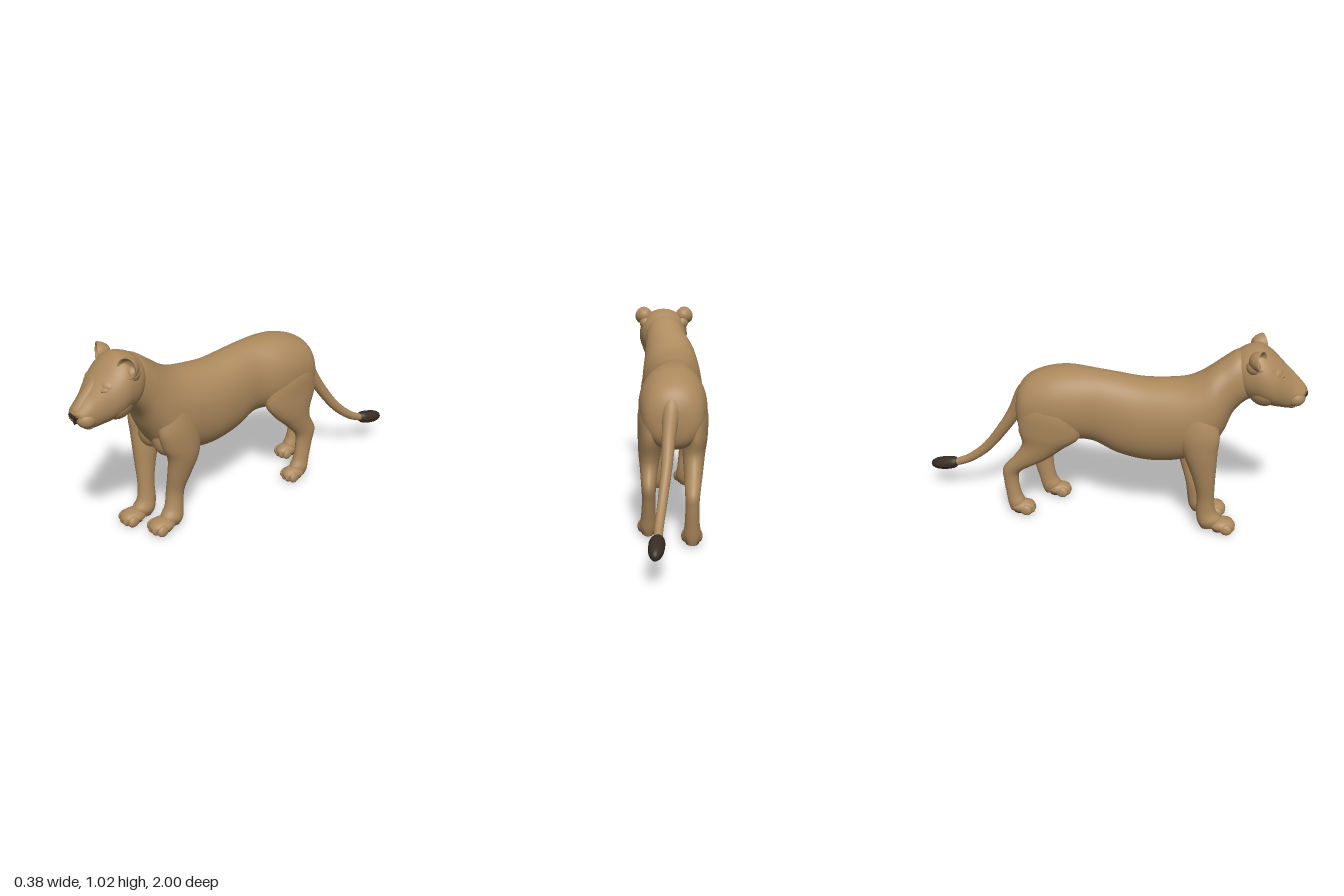
import * as THREE from 'three';

const fur = new THREE.MeshStandardMaterial({ color: 0xac895d });
fur.name = 'tawnyFur';
const dark = new THREE.MeshStandardMaterial({ color: 0x382d23 });
dark.name = 'darkBrown';

function add(parent, name, geometry, material = fur) {
  const mesh = new THREE.Mesh(geometry, material);
  mesh.name = name;
  parent.add(mesh);
  return mesh;
}

function ball(parent, name, pos, size, material = fur, rot = [0, 0, 0]) {
  const mesh = add(parent, name, new THREE.SphereGeometry(1, 24, 16), material);
  mesh.position.set(...pos);
  mesh.scale.set(...size);
  mesh.rotation.set(...rot);
  return mesh;
}

// Smooth skin through oval rings: [centre x, half width, edge A z, y, edge B z, y]
function loft(stations, power = 1, seg = 32, sub = 6) {
  const pos = [], idx = [], n = stations.length;
  const rings = (n - 1) * sub + 1;
  const cr = (a, b, c, d, t) => 0.5 * (2 * b + (c - a) * t + (2 * a - 5 * b + 4 * c - d) * t * t + (3 * b - a - 3 * c + d) * t * t * t);
  const shape = (v) => Math.sign(v) * Math.abs(v) ** power;
  const centres = [];
  for (let r = 0; r < rings; r++) {
    const i = Math.min(Math.floor(r / sub), n - 2), t = r / sub - i;
    const at = (k) => stations[Math.max(0, Math.min(n - 1, k))];
    const [x, w, az, ay, bz, by] = at(i).map((_, k) => cr(at(i - 1)[k], at(i)[k], at(i + 1)[k], at(i + 2)[k], t));
    centres.push([x, (ay + by) / 2, (az + bz) / 2]);
    for (let s = 0; s < seg; s++) {
      const a = (s / seg) * Math.PI * 2, c = shape(Math.cos(a)) / 2, d = shape(Math.sin(a));
      pos.push(x + w * d, (ay + by) / 2 + (ay - by) * c, (az + bz) / 2 + (az - bz) * c);
    }
  }
  for (let r = 0; r < rings - 1; r++) {
    for (let s = 0; s < seg; s++) {
      const a = r * seg + s, b = r * seg + (s + 1) % seg;
      idx.push(a, b, a + seg, b, b + seg, a + seg);
    }
  }
  // End caps
  const first = rings * seg;
  pos.push(...centres[0], ...centres[rings - 1]);
  for (let s = 0; s < seg; s++) {
    const e = (rings - 1) * seg, q = (s + 1) % seg;
    idx.push(first, q, s, first + 1, e + s, e + q);
  }
  // Turn the faces outward whichever way the rings run
  let volume = 0;
  const v = (i) => new THREE.Vector3().fromArray(pos, i * 3);
  for (let i = 0; i < idx.length; i += 3) volume += v(idx[i]).dot(v(idx[i + 1]).cross(v(idx[i + 2])));
  if (volume < 0) idx.reverse();
  const g = new THREE.BufferGeometry();
  g.setAttribute('position', new THREE.Float32BufferAttribute(pos, 3));
  g.setIndex(idx);
  g.computeVertexNormals();
  return g;
}

// Paw with four toes and a dark heel pad; z is the tip of the toes
function paw(parent, name, x, z, w) {
  const g = new THREE.Group();
  g.name = name;
  parent.add(g);
  ball(g, 'foot', [x, 0.042, z - 0.075], [w * 0.94, 0.037, 0.07]);
  for (let i = 0; i < 4; i++) {
    const u = (i - 1.5) / 1.5, tz = z - 0.034 - Math.abs(u) * 0.018;
    ball(g, 'toe', [x + u * w * 0.68, 0.034, tz], [w * 0.33, 0.03, 0.035], fur, [0.25, u * 0.15, 0]);
  }
  ball(g, 'heelPad', [x, 0.012, z - 0.09], [w * 0.62, 0.012, 0.034], dark);
}

export function createModel() {
  const model = new THREE.Group();
  model.name = 'bigCat';

  // Torso and neck, from rump to nape
  add(model, 'torso', loft([
    [0, 0.03, -0.462, 0.67, -0.465, 0.58], [0, 0.105, -0.435, 0.735, -0.448, 0.5],
    [0, 0.147, -0.38, 0.785, -0.4, 0.46], [0, 0.167, -0.28, 0.822, -0.28, 0.445],
    [0, 0.162, -0.18, 0.835, -0.16, 0.45], [-0.01, 0.137, -0.05, 0.83, -0.05, 0.445],
    [-0.01, 0.142, 0.06, 0.818, 0.07, 0.39], [-0.01, 0.153, 0.18, 0.803, 0.2, 0.365],
    [-0.012, 0.16, 0.3, 0.808, 0.32, 0.37], [-0.012, 0.165, 0.4, 0.822, 0.44, 0.4],
    [-0.01, 0.16, 0.47, 0.853, 0.54, 0.455], [-0.005, 0.145, 0.53, 0.895, 0.605, 0.56],
    [0.01, 0.124, 0.585, 0.935, 0.645, 0.66], [0.02, 0.112, 0.64, 0.972, 0.7, 0.72],
    [0.03, 0.1, 0.7, 0.985, 0.75, 0.74],
  ], 0.92, 40));
  for (const s of [-1, 1]) {
    ball(model, 'chestMuscle', [-0.005 + s * 0.058, 0.52, 0.485], [0.08, 0.115, 0.088], fur, [-0.25, 0, 0]);
  }

  // Head, from nape to nose
  const head = new THREE.Group();
  head.name = 'head';
  model.add(head);
  add(head, 'skull', loft([
    [0.03, 0.06, 0.6, 0.915, 0.64, 0.8], [0.03, 0.115, 0.665, 0.983, 0.7, 0.74],
    [0.03, 0.134, 0.74, 1.01, 0.75, 0.727], [0.03, 0.137, 0.79, 0.992, 0.79, 0.712],
    [0.03, 0.125, 0.84, 0.95, 0.83, 0.703], [0.032, 0.1, 0.885, 0.905, 0.868, 0.695],
    [0.034, 0.077, 0.925, 0.86, 0.91, 0.69], [0.035, 0.065, 0.96, 0.825, 0.942, 0.702],
    [0.035, 0.05, 0.985, 0.8, 0.965, 0.73], [0.035, 0.015, 0.996, 0.785, 0.985, 0.755],
  ], 0.95, 40));
  add(head, 'noseBridge', loft([
    [0.032, 0.03, 0.82, 0.95, 0.8, 0.88], [0.033, 0.042, 0.886, 0.909, 0.85, 0.82],
    [0.034, 0.038, 0.941, 0.856, 0.9, 0.77], [0.035, 0.037, 0.982, 0.811, 0.94, 0.75],
    [0.035, 0.02, 0.992, 0.795, 0.97, 0.765],
  ]));
  ball(head, 'nosePad', [0.035, 0.768, 0.983], [0.036, 0.016, 0.017], dark, [-0.3, 0, 0]);
  ball(head, 'noseGroove', [0.035, 0.745, 0.983], [0.006, 0.022, 0.008], dark);
  ball(head, 'chin', [0.035, 0.714, 0.922], [0.05, 0.025, 0.034]);

  for (const s of [-1, 1]) {
    ball(head, 'muzzlePad', [0.035 + s * 0.033, 0.752, 0.938], [0.043, 0.042, 0.05]);
    ball(head, 'cheek', [0.03 + s * 0.058, 0.805, 0.79], [0.065, 0.09, 0.085]);
    ball(head, 'brow', [0.03 + s * 0.06, 0.887, 0.83], [0.05, 0.038, 0.042], fur, [0, s * 0.4, -s * 0.15]);
    ball(head, 'eyelid', [0.032 + s * 0.068, 0.878, 0.862], [0.03, 0.016, 0.018], fur, [0, s * 0.5, s * 0.15]);
    ball(head, 'eyeSlit', [0.032 + s * 0.07, 0.877, 0.8775], [0.018, 0.0025, 0.004], dark, [0, s * 0.5, s * 0.15]);
    // Mouth line under the muzzle pad
    const lip = new THREE.CatmullRomCurve3([
      new THREE.Vector3(0.035, 0.726, 0.969), new THREE.Vector3(0.035 + s * 0.02, 0.717, 0.965),
      new THREE.Vector3(0.035 + s * 0.045, 0.718, 0.951),
    ]);
    add(head, 'mouthLine', new THREE.TubeGeometry(lip, 12, 0.0025, 6), dark);
    // Cupped ear opening forward and outward
    const cup = [[0, -0.055], [0.028, -0.046], [0.045, -0.02], [0.05, 0.006], [0.047, 0.011], [0.041, 0.004], [0.028, -0.016], [0, -0.024]];
    const profile = new THREE.SplineCurve(cup.map((p) => new THREE.Vector2(...p))).getPoints(28);
    profile[0].x = profile[28].x = 0;
    const ear = add(head, 'ear', new THREE.LatheGeometry(profile, 28));
    ear.position.set(0.026 + s * 0.117, 0.97, 0.758);
    ear.quaternion.setFromUnitVectors(new THREE.Vector3(0, 1, 0), new THREE.Vector3(s * 0.42, 0.08, 0.9).normalize());
    ball(head, 'earRoot', [0.028 + s * 0.104, 0.93, 0.73], [0.035, 0.04, 0.036], fur, [0, 0, -s * 0.4]);
  }

  // Legs, edge A in front and edge B behind
  add(model, 'leftFrontLeg', loft([
    [0.06, 0.03, 0.46, 0.79, 0.4, 0.77], [0.086, 0.054, 0.54, 0.7, 0.385, 0.7],
    [0.103, 0.06, 0.58, 0.58, 0.36, 0.58], [0.105, 0.06, 0.56, 0.48, 0.345, 0.47],
    [0.1, 0.057, 0.525, 0.4, 0.355, 0.39], [0.082, 0.05, 0.517, 0.3, 0.385, 0.3],
    [0.062, 0.042, 0.515, 0.2, 0.418, 0.2], [0.066, 0.042, 0.53, 0.12, 0.43, 0.11],
    [0.072, 0.048, 0.56, 0.075, 0.44, 0.05], [0.074, 0.03, 0.56, 0.035, 0.46, 0.012],
  ]));
  add(model, 'rightFrontLeg', loft([
    [-0.08, 0.03, 0.48, 0.79, 0.4, 0.77], [-0.108, 0.054, 0.55, 0.7, 0.385, 0.7],
    [-0.127, 0.06, 0.59, 0.58, 0.37, 0.58], [-0.124, 0.058, 0.585, 0.48, 0.41, 0.47],
    [-0.115, 0.055, 0.583, 0.4, 0.44, 0.39], [-0.105, 0.047, 0.58, 0.3, 0.47, 0.3],
    [-0.092, 0.039, 0.58, 0.2, 0.49, 0.2], [-0.086, 0.041, 0.59, 0.12, 0.49, 0.11],
    [-0.086, 0.048, 0.62, 0.075, 0.5, 0.05], [-0.087, 0.03, 0.62, 0.035, 0.52, 0.012],
  ]));
  add(model, 'leftHindLeg', loft([
    [0.06, 0.045, -0.19, 0.76, -0.34, 0.74], [0.095, 0.071, -0.11, 0.63, -0.415, 0.65],
    [0.108, 0.064, -0.095, 0.5, -0.43, 0.52], [0.115, 0.055, -0.15, 0.415, -0.395, 0.42],
    [0.118, 0.045, -0.225, 0.345, -0.392, 0.36], [0.12, 0.036, -0.3, 0.265, -0.432, 0.275],
    [0.12, 0.033, -0.308, 0.2, -0.415, 0.2], [0.122, 0.036, -0.295, 0.12, -0.39, 0.11],
    [0.124, 0.042, -0.27, 0.075, -0.375, 0.05], [0.124, 0.03, -0.27, 0.035, -0.36, 0.012],
  ]));
  add(model, 'rightHindLeg', loft([
    [-0.06, 0.045, -0.19, 0.76, -0.34, 0.74], [-0.095, 0.071, -0.11, 0.63, -0.42, 0.65],
    [-0.106, 0.063, -0.11, 0.5, -0.435, 0.52], [-0.1, 0.055, -0.2, 0.42, -0.42, 0.43],
    [-0.095, 0.046, -0.3, 0.34, -0.465, 0.35], [-0.088, 0.036, -0.43, 0.26, -0.53, 0.27],
    [-0.086, 0.033, -0.452, 0.2, -0.532, 0.2], [-0.086, 0.036, -0.44, 0.12, -0.52, 0.11],
    [-0.087, 0.042, -0.42, 0.075, -0.51, 0.05], [-0.087, 0.03, -0.42, 0.035, -0.5, 0.012],
  ]));
  paw(model, 'leftFrontPaw', 0.076, 0.64, 0.062);
  paw(model, 'rightFrontPaw', -0.087, 0.7, 0.06);
  paw(model, 'leftHindPaw', 0.125, -0.21, 0.051);
  paw(model, 'rightHindPaw', -0.088, -0.36, 0.051);

  // Tail and its dark tuft, edge A above and edge B below
  add(model, 'tail', loft([
    [0, 0.05, -0.36, 0.77, -0.39, 0.64], [0.01, 0.043, -0.455, 0.705, -0.41, 0.63],
    [0.025, 0.033, -0.52, 0.56, -0.455, 0.53], [0.035, 0.027, -0.585, 0.45, -0.535, 0.415],
    [0.055, 0.023, -0.675, 0.325, -0.645, 0.28], [0.073, 0.021, -0.775, 0.235, -0.76, 0.19],
    [0.082, 0.02, -0.865, 0.188, -0.86, 0.148],
  ], 1, 20));
  add(model, 'tailTuft', loft([
    [0.08, 0.018, -0.845, 0.195, -0.84, 0.157], [0.083, 0.033, -0.868, 0.2, -0.86, 0.137],
    [0.087, 0.037, -0.91, 0.195, -0.905, 0.123], [0.091, 0.032, -0.96, 0.182, -0.955, 0.118],
    [0.094, 0.018, -0.99, 0.165, -0.99, 0.125], [0.095, 0.003, -1, 0.148, -1, 0.142],
  ], 1, 20), dark);
  return model;
}
